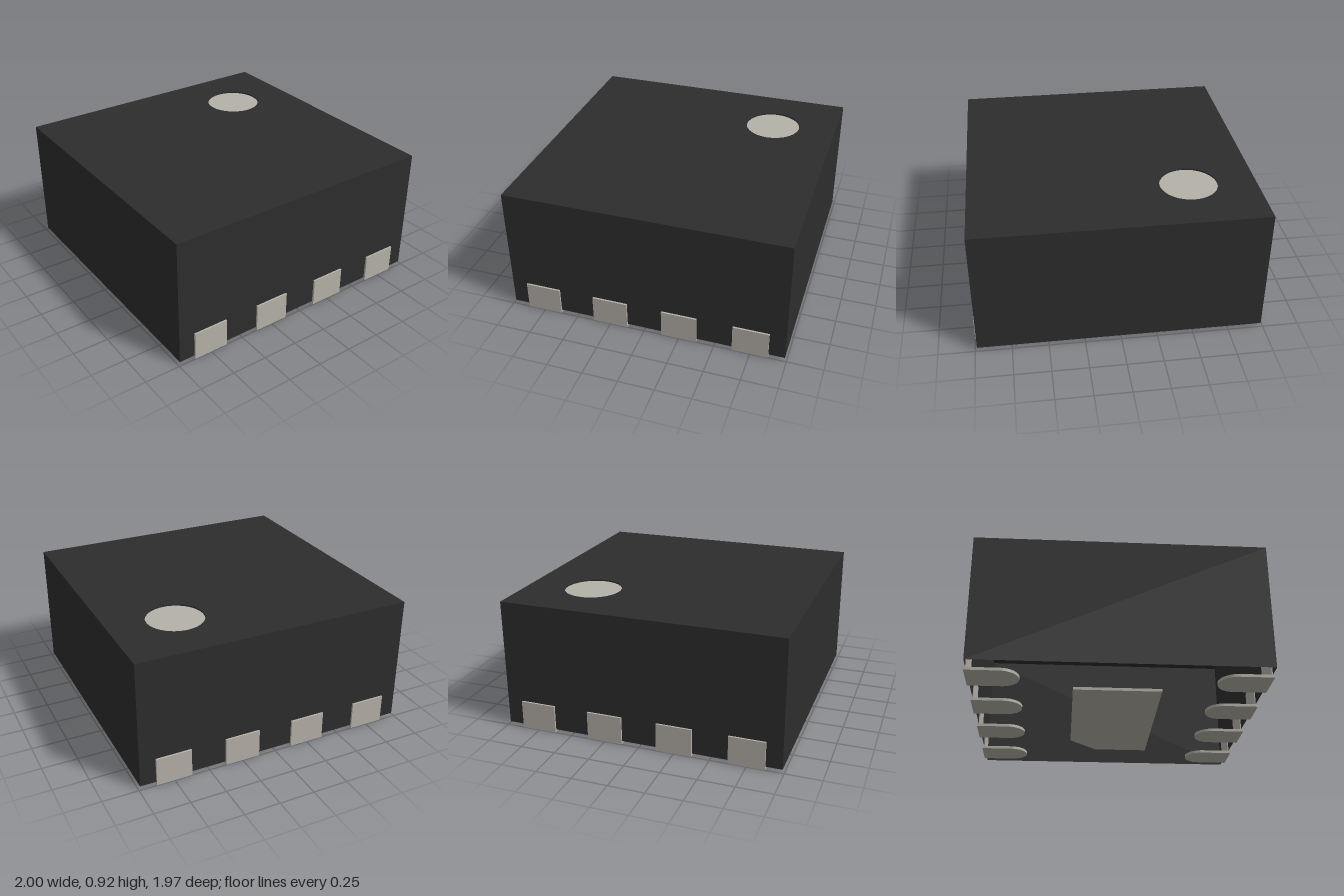
import * as THREE from 'three';

const mould = new THREE.MeshStandardMaterial({ color: 0x2d2d2d, side: THREE.DoubleSide });
mould.name = 'black mould';
const metal = new THREE.MeshStandardMaterial({ color: 0xb5b1a8 });
metal.name = 'pale metal';

const HALF = 0.987, BASE = 0.02, TOP = 0.92;
const DOT = { x: -0.52, z: -0.52, r: 0.2 };

function add(parent, name, geometry, material, x = 0, y = 0, z = 0) {
  const mesh = new THREE.Mesh(geometry, material);
  mesh.name = name;
  mesh.position.set(x, y, z);
  parent.add(mesh);
  return mesh;
}

// Flat plate from an (x, z) outline, standing on y = 0
function plate(shape, height) {
  return new THREE.ExtrudeGeometry(shape, { depth: height, bevelEnabled: false, curveSegments: 16 })
    .rotateX(Math.PI / 2).translate(0, height, 0);
}

export function createModel() {
  const model = new THREE.Group();
  model.name = 'chipPackage';

  // Body: a thin shell, open underneath
  const body = new THREE.Group();
  body.name = 'body';
  model.add(body);
  const height = TOP - BASE;
  for (let i = 0; i < 4; i++) {
    const wall = new THREE.PlaneGeometry(HALF * 2, height).translate(0, BASE + height / 2, HALF);
    add(body, 'wall', wall.rotateY(i * Math.PI / 2), mould);
  }
  const lid = new THREE.Shape([
    new THREE.Vector2(-HALF, -HALF), new THREE.Vector2(HALF, -HALF),
    new THREE.Vector2(HALF, HALF), new THREE.Vector2(-HALF, HALF),
  ]);
  lid.holes.push(new THREE.Path().absarc(DOT.x, -DOT.z, DOT.r, 0, Math.PI * 2, true));
  add(body, 'lid', new THREE.ShapeGeometry(lid, 24).rotateX(-Math.PI / 2), mould, 0, TOP, 0);

  // Slightly sunken marker dot in the lid
  add(body, 'markerRim', new THREE.CylinderGeometry(DOT.r, DOT.r, 0.02, 48, 1, true), mould,
    DOT.x, TOP - 0.01, DOT.z);
  add(model, 'markerDot', new THREE.CylinderGeometry(DOT.r, DOT.r, 0.01, 48), metal,
    DOT.x, TOP - 0.015, DOT.z);

  // Contacts: a round-ended foot and an upright tab, four on each side
  const foot = new THREE.Shape();
  foot.moveTo(1, -0.125);
  foot.lineTo(1, 0.125);
  foot.lineTo(0.775, 0.125);
  foot.absarc(0.775, 0, 0.125, Math.PI / 2, Math.PI * 1.5, false);
  foot.closePath();
  const footGeometry = plate(foot, 0.02);
  const tabGeometry = new THREE.BoxGeometry(0.02, 0.18, 0.25);
  for (const turn of [0, Math.PI]) {
    for (const z of [-0.75, -0.25, 0.25, 0.75]) {
      const contact = new THREE.Group();
      contact.name = 'contact';
      add(contact, 'foot', footGeometry, metal);
      add(contact, 'tab', tabGeometry, metal, 0.99, 0.11, 0);
      contact.position.z = z;
      contact.rotation.y = turn;
      model.add(contact);
    }
  }

  // Central pad with one cut corner below the marker dot
  const pad = new THREE.Shape([
    new THREE.Vector2(-0.1, -0.6), new THREE.Vector2(0.3, -0.6), new THREE.Vector2(0.3, 0.6),
    new THREE.Vector2(-0.3, 0.6), new THREE.Vector2(-0.3, -0.4),
  ]);
  add(model, 'centralPad', plate(pad, 0.02), metal);

  return model;
}
